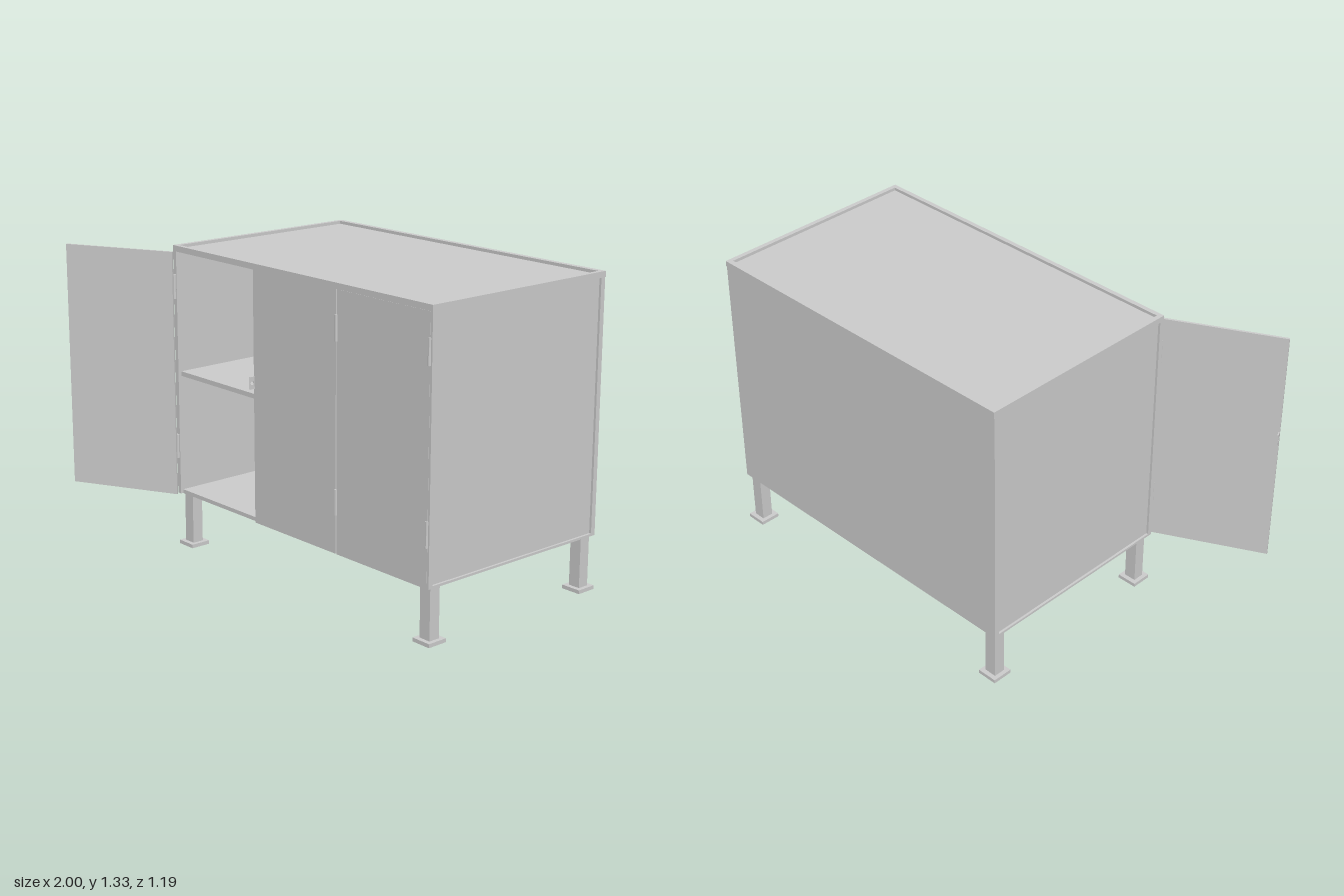
import * as THREE from 'three';

const material = new THREE.MeshStandardMaterial({ color: 0xcccccc, flatShading: true });

// Box given by its lower and upper limits on each axis
function box(parent, name, [x0, x1], [y0, y1], [z0, z1]) {
  const mesh = new THREE.Mesh(new THREE.BoxGeometry(x1 - x0, y1 - y0, z1 - z0), material);
  mesh.position.set((x0 + x1) / 2, (y0 + y1) / 2, (z0 + z1) / 2);
  mesh.name = name;
  parent.add(mesh);
  return mesh;
}

// Upright hinge barrel
function hinge(parent, x, y, z) {
  const mesh = new THREE.Mesh(new THREE.CylinderGeometry(0.007, 0.007, 0.105, 12), material);
  mesh.position.set(x, y, z);
  mesh.name = 'hinge';
  parent.add(mesh);
}

// Latch tab: a thin plate with a round hole, standing out from the door face
function latch(parent, x, y, z) {
  const shape = new THREE.Shape();
  shape.moveTo(0, -0.026);
  shape.lineTo(0.024, -0.026);
  shape.lineTo(0.024, 0.026);
  shape.lineTo(0, 0.026);
  shape.closePath();
  const hole = new THREE.Path();
  hole.absarc(0.013, 0, 0.008, 0, Math.PI * 2, true);
  shape.holes.push(hole);
  const geometry = new THREE.ExtrudeGeometry(shape, { depth: 0.005, bevelEnabled: false, curveSegments: 12 });
  geometry.rotateY(-Math.PI / 2);
  const mesh = new THREE.Mesh(geometry, material);
  mesh.position.set(x, y, z);
  mesh.name = 'latchTab';
  parent.add(mesh);
}

export function createModel() {
  const model = new THREE.Group();
  model.name = 'cabinet';
  const L = -0.56, R = 0.995, F = 0.35, B = -0.59;
  const bottom = 0.235, top = 1.325, bar = 0.02;

  // Frame: corner posts, top rails and lower side rails
  const frame = new THREE.Group();
  frame.name = 'frame';
  model.add(frame);
  for (const x of [L, R - bar]) {
    for (const z of [B + 0.002, F - bar]) {
      box(frame, 'cornerPost', [x, x + bar], [bottom, top - 0.025], [z, z + bar]);
    }
    box(frame, 'sideTopRail', [x, x + bar], [top - 0.025, top], [B + bar, F - bar]);
    box(frame, 'sideBottomRail', [x, x + bar], [bottom, bottom + 0.01], [B + bar, F - bar]);
  }
  box(frame, 'frontTopRail', [L, R], [top - 0.025, top], [F - bar, F]);
  box(frame, 'backTopRail', [L, R], [top - 0.025, top], [B - 0.003, B + bar]);

  // Panels: recessed sides and top, flush back, floor and one shelf
  const il = L + bar, ir = R - bar;
  box(model, 'rightPanel', [L + 0.01, il], [bottom + 0.01, top - 0.025], [B + bar, F - bar]);
  box(model, 'leftPanel', [ir, R - 0.01], [bottom + 0.01, top - 0.025], [B + bar, F - bar]);
  box(model, 'topPanel', [il, ir], [top - 0.025, top - 0.013], [B + bar, F - bar]);
  box(model, 'backPanel', [L, R], [bottom, top - 0.027], [B, B + 0.01]);
  box(model, 'floor', [il, ir], [bottom, bottom + 0.017], [B + 0.01, F - 0.012]);
  box(model, 'shelf', [il, ir], [0.76, 0.78], [B + 0.01, F - 0.015]);

  // Closed doors with hinges and the latch
  box(model, 'middleDoor', [-0.03, 0.47], [bottom, 1.3], [F - 0.01, F]);
  box(model, 'leftDoor', [0.476, 0.985], [bottom, 1.3], [F - 0.009, F + 0.001]);
  for (const y of [0.45, 1.15]) {
    hinge(model, 0.473, y, F);
    hinge(model, 0.981, y, F);
  }
  latch(model, -0.025, 0.835, F);

  // Open door, swung about its hinge line
  const door = new THREE.Group();
  door.name = 'openDoor';
  door.position.set(-0.548, 0, 0.36);
  door.rotation.y = -THREE.MathUtils.degToRad(152.7);
  box(door, 'doorPanel', [0, 0.502], [bottom, 1.3], [-0.01, 0]);
  latch(door, 0.501, 0.835, 0);
  model.add(door);
  for (const y of [0.45, 1.15]) hinge(model, -0.549, y, 0.354);

  // Legs on square foot plates
  for (const x of [-0.517, 0.952]) {
    for (const z of [-0.55, 0.3]) {
      box(model, 'leg', [x - 0.027, x + 0.027], [0.015, bottom], [z - 0.025, z + 0.025]);
      box(model, 'footPlate', [x - 0.045, x + 0.045], [0, 0.016], [z - 0.045, z + 0.045]);
    }
  }
  return model;
}
